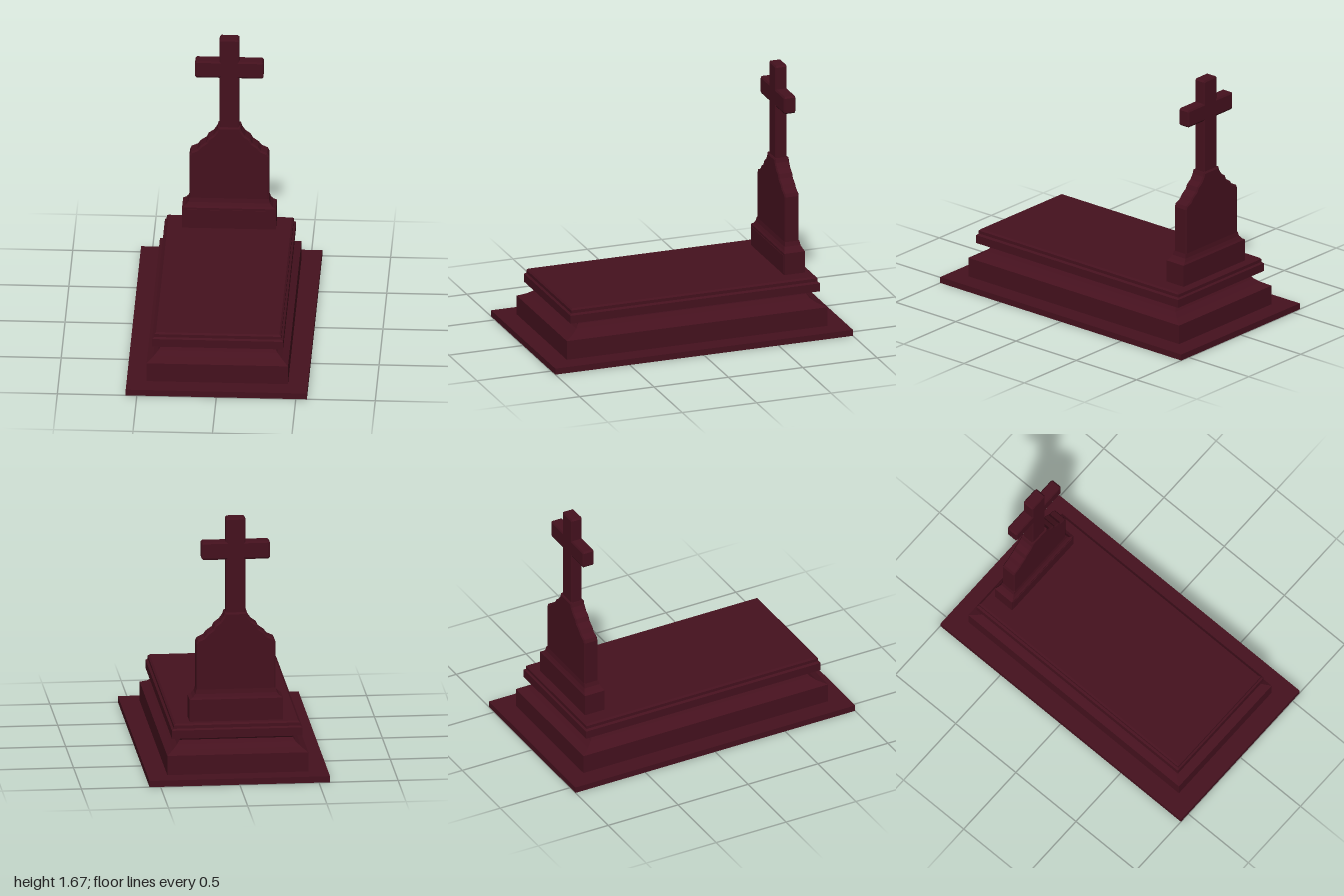
import * as THREE from 'three';

const material = new THREE.MeshStandardMaterial({ color: 0x45111e, side: THREE.DoubleSide });
const STONE_Z = -0.7125;

// Rectangular moulding: each level is [half width, half depth, height]
function moulding(name, levels, capped = false) {
  const pos = [];
  const corners = ([hx, hz, y]) => [[hx, y, hz], [hx, y, -hz], [-hx, y, -hz], [-hx, y, hz]];
  const quad = (a, b, c, d) => pos.push(...a, ...b, ...c, ...a, ...c, ...d);
  for (let i = 0; i < levels.length - 1; i++) {
    const lo = corners(levels[i]), hi = corners(levels[i + 1]);
    for (let k = 0; k < 4; k++) {
      const n = (k + 1) % 4;
      quad(lo[k], lo[n], hi[n], hi[k]);
    }
  }
  if (capped) quad(...corners(levels[levels.length - 1]));
  const geo = new THREE.BufferGeometry();
  geo.setAttribute('position', new THREE.Float32BufferAttribute(pos, 3));
  geo.computeVertexNormals();
  const mesh = new THREE.Mesh(geo, material);
  mesh.name = name;
  return mesh;
}

// Mirrored outline (right half, bottom to top) extruded with a chamfered rim
function slab(name, half, depth) {
  const left = half.map(([x, y]) => [-x, y]).reverse();
  const shape = new THREE.Shape([...half, ...left].map(([x, y]) => new THREE.Vector2(x, y)));
  const bevel = 0.006;
  const geo = new THREE.ExtrudeGeometry(shape, {
    depth: depth - 2 * bevel, bevelEnabled: true, bevelSegments: 1,
    bevelThickness: bevel, bevelSize: 0.011, bevelOffset: -0.011,
  });
  geo.translate(0, 0, -depth / 2 + bevel);
  const mesh = new THREE.Mesh(geo, material);
  mesh.name = name;
  mesh.position.z = STONE_Z;
  return mesh;
}

export function createModel() {
  const group = new THREE.Group();
  group.name = 'graveMonument';

  // Ground slab, open in the middle
  group.add(moulding('groundSlab', [
    [0.445, 0.875, 0], [0.57, 1, 0], [0.57, 1, 0.04], [0.445, 0.875, 0.04], [0.445, 0.875, 0],
  ]));

  // Hollow tomb body with a concave shoulder
  group.add(moulding('tombBody', [
    [0.445, 0.875, 0.04], [0.445, 0.875, 0.165], [0.405, 0.82, 0.188],
    [0.375, 0.785, 0.213], [0.357, 0.766, 0.238], [0.345, 0.784, 0.265],
  ]));

  // Stepped cover, open underneath
  group.add(moulding('cover', [
    [0.345, 0.784, 0.265], [0.412, 0.838, 0.265], [0.412, 0.838, 0.318], [0.399, 0.828, 0.328],
    [0.399, 0.828, 0.348], [0.388, 0.818, 0.358],
  ], true));

  // Headstone plinth with a cove on top
  const plinth = moulding('plinth', [
    [0.295, 0.07, 0.356], [0.295, 0.07, 0.5], [0.275, 0.062, 0.512],
    [0.258, 0.053, 0.532], [0.25, 0.048, 0.56],
  ], true);
  plinth.position.z = STONE_Z;
  group.add(plinth);

  // Shallow panel on the plinth front
  const panel = new THREE.Mesh(new THREE.BoxGeometry(0.56, 0.118, 0.006), material);
  panel.name = 'plinthPanel';
  panel.position.set(0, 0.427, STONE_Z + 0.07);
  group.add(panel);

  // Headstone with scalloped shoulders
  group.add(slab('headstone', [
    [0.25, 0.545], [0.25, 0.858], [0.24, 0.88], [0.2, 0.898], [0.182, 0.922], [0.145, 0.948],
    [0.132, 0.975], [0.1, 0.998], [0.078, 1.03], [0.07, 1.056],
  ], 0.096));

  // Cross with clipped corners
  group.add(slab('cross', [
    [0.062, 1.035], [0.062, 1.4], [0.205, 1.4], [0.215, 1.41], [0.215, 1.505], [0.205, 1.515],
    [0.062, 1.515], [0.062, 1.66], [0.052, 1.67],
  ], 0.078));

  return group;
}
